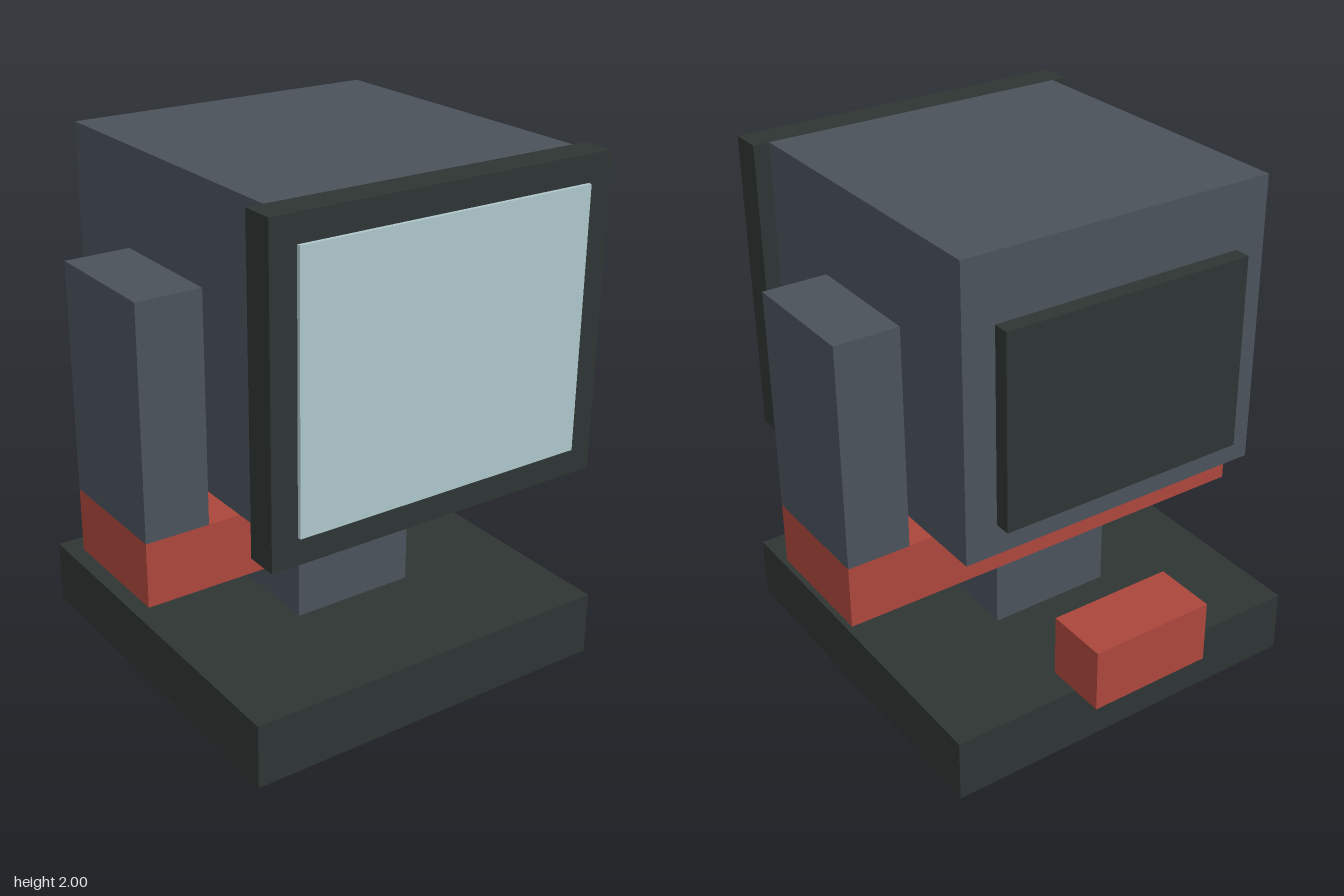
import * as THREE from 'three';

const material = (name, color) => {
  const m = new THREE.MeshStandardMaterial({ color });
  m.name = name;
  return m;
};

export function createModel() {
  const model = new THREE.Group();
  model.name = 'monitorHeadOnStand';

  const charcoal = material('charcoal', 0x2d3533);
  const slate = material('slate', 0x4a525a);
  const red = material('red', 0xab463c);
  const glass = material('paleGlass', 0xaec6cb);

  // Adds a box spanning the given [min, max] range on each axis
  const box = (name, mat, [x0, x1], [y0, y1], [z0, z1]) => {
    const mesh = new THREE.Mesh(new THREE.BoxGeometry(x1 - x0, y1 - y0, z1 - z0), mat);
    mesh.position.set((x0 + x1) / 2, (y0 + y1) / 2, (z0 + z1) / 2);
    mesh.name = name;
    model.add(mesh);
  };
  const wide = (half) => [-half, half];
  const yokeDepth = [-0.195, 0.305];

  // Stand: base slab, neck (a hair proud of the yoke in front) and rear block
  box('base', charcoal, wide(0.75), [0, 0.25], [-0.695, 0.805]);
  box('neck', slate, wide(0.25), [0.25, 0.625], [-0.193, 0.307]);
  box('rearBlock', red, wide(0.25), [0.25, 0.5], [-0.82, -0.57]);

  // Yoke: cross beam with an upright arm at each end
  box('yokeBeam', red, wide(0.875), [0.5, 0.75], yokeDepth);
  box('leftArm', slate, [0.625, 0.875], [0.75, 1.625], yokeDepth);
  box('rightArm', slate, [-0.875, -0.625], [0.75, 1.625], yokeDepth);

  // Head: housing, front bezel with screen, and back panel
  box('housing', slate, wide(0.625), [0.88, 2], [-0.57, 0.68]);
  box('bezel', charcoal, wide(0.6875), [0.8125, 2], [0.68, 0.805]);
  box('screen', glass, wide(0.5875), [0.915, 1.9], [0.8, 0.82]);
  box('backPanel', charcoal, wide(0.5), [1, 1.75], [-0.633, -0.57]);

  return model;
}
